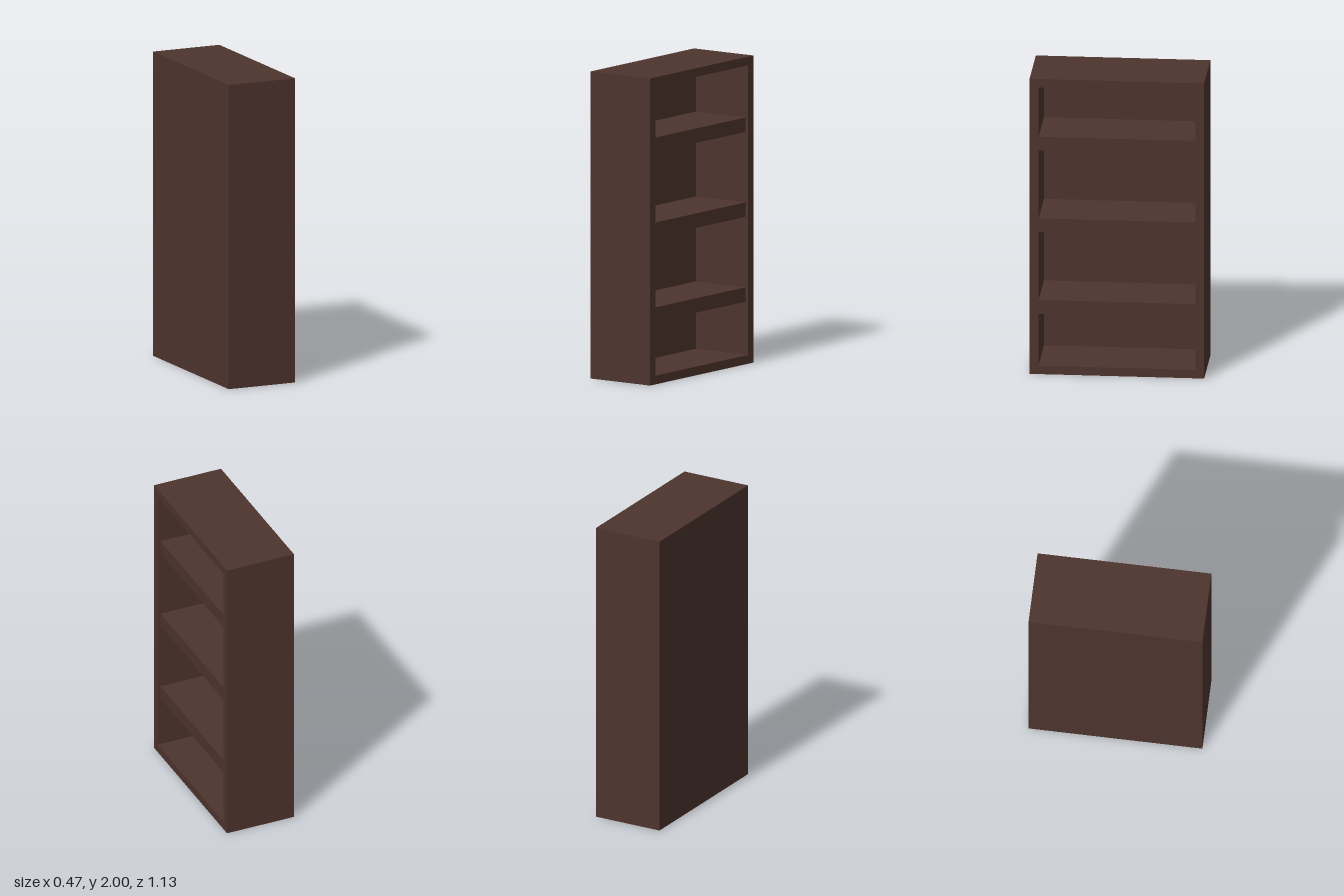
import * as THREE from 'three';

const DEPTH = 0.473, WIDTH = 1.126, HEIGHT = 2, WALL = 0.057;
const SHELF_THICKNESS = 0.094, SHELF_RECESS = 0.02;

// Rectangle outline, centred horizontally, from y0 to y1
function rectangle(PathType, width, y0, y1) {
  const path = new PathType();
  path.moveTo(-width / 2, y0);
  path.lineTo(width / 2, y0);
  path.lineTo(width / 2, y1);
  path.lineTo(-width / 2, y1);
  path.closePath();
  return path;
}

export function createModel() {
  const model = new THREE.Group();
  model.name = 'bookcase';
  const darkWood = new THREE.MeshStandardMaterial({ color: 0x4e342e });
  darkWood.name = 'darkWood';

  const add = (name, geometry) => {
    const mesh = new THREE.Mesh(geometry, darkWood);
    mesh.name = name;
    model.add(mesh);
    return mesh;
  };

  const innerWidth = WIDTH - 2 * WALL;
  const backInner = -DEPTH / 2 + WALL;
  const front = DEPTH / 2;

  // Outer frame, open towards +x
  const outline = rectangle(THREE.Shape, WIDTH, 0, HEIGHT);
  outline.holes.push(rectangle(THREE.Path, innerWidth, WALL, HEIGHT - WALL));
  const frame = new THREE.ExtrudeGeometry(outline, { depth: DEPTH, bevelEnabled: false });
  frame.rotateY(Math.PI / 2).translate(-DEPTH / 2, 0, 0);
  add('frame', frame);

  // Back panel closing the -x side
  add('backPanel', new THREE.BoxGeometry(WALL, HEIGHT - 2 * WALL, innerWidth))
    .position.set(-DEPTH / 2 + WALL / 2, HEIGHT / 2, 0);

  // Shelves, set slightly behind the frame's edge
  const shelfDepth = front - SHELF_RECESS - backInner;
  const shelfGeometry = new THREE.BoxGeometry(shelfDepth, SHELF_THICKNESS, innerWidth);
  [0.449, 1.002, 1.555].forEach((y, i) => {
    add(`shelf${i + 1}`, shelfGeometry).position.set(backInner + shelfDepth / 2, y, 0);
  });

  return model;
}
